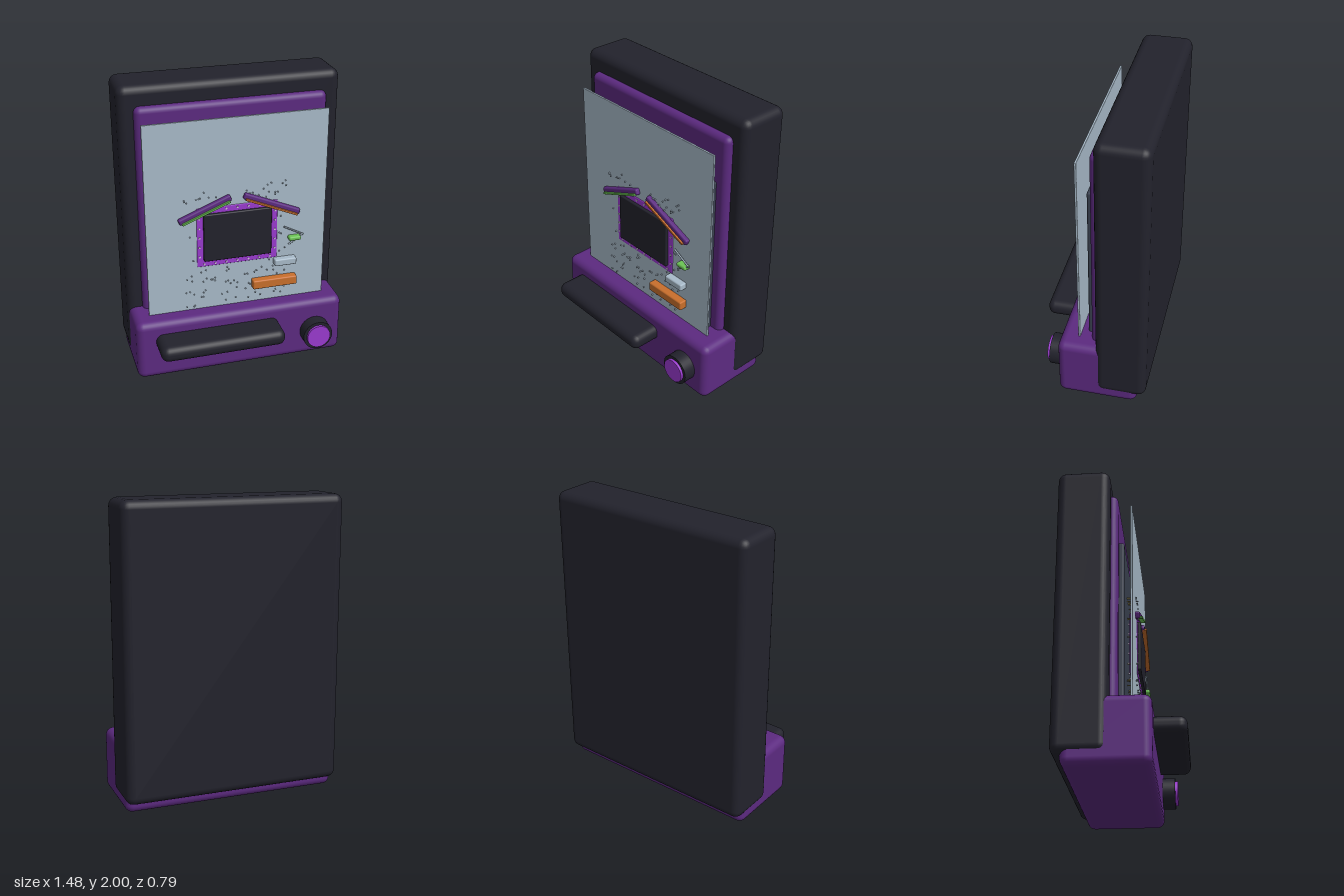
import * as THREE from 'three';
import { RoundedBoxGeometry } from 'three/addons/geometries/RoundedBoxGeometry.js';

const paint = (name, color) => Object.assign(new THREE.MeshStandardMaterial({ color }), { name });

export function createModel() {
  const model = new THREE.Group();
  model.name = 'displayDevice';
  const dark = paint('charcoal', 0x22222c);
  const purple = paint('deep purple', 0x5c2a80);
  const violet = paint('bright violet', 0x9a3acf);
  const glass = paint('pale blue grey', 0xa8bac9);
  const slate = paint('slate', 0x3a4150);
  const brass = paint('brass', 0xb3a468);
  const green = paint('green', 0x6cc455);
  const orange = paint('orange', 0xc96f2c);
  const white = paint('lilac white', 0xcfc4dc);

  const add = (name, geometry, material, parent = model) => {
    const mesh = new THREE.Mesh(geometry, material);
    mesh.name = name;
    parent.add(mesh);
    return mesh;
  };
  // Rounded box given by its limits on each axis
  const block = (name, material, [x0, x1], [y0, y1], [z0, z1], radius, parent) => {
    const mesh = add(name, new RoundedBoxGeometry(x1 - x0, y1 - y0, z1 - z0, 3, radius), material, parent);
    mesh.position.set((x0 + x1) / 2, (y0 + y1) / 2, (z0 + z1) / 2);
    return mesh;
  };
  // Cylinder pointing along z
  const disc = (name, material, x, y, z0, z1, radius, sides, parent) => {
    const geometry = new THREE.CylinderGeometry(radius, radius, z1 - z0, sides).rotateX(Math.PI / 2);
    const mesh = add(name, geometry, material, parent);
    mesh.position.set(x, y, (z0 + z1) / 2);
    return mesh;
  };

  // Housing, base and layered display
  block('housing', dark, [-0.74, 0.74], [0.07, 2], [-0.4, -0.06], 0.055);
  block('base', purple, [-0.73, 0.73], [0, 0.43], [-0.34, 0.195], 0.05);
  block('backPanel', purple, [-0.64, 0.64], [0.3, 1.87], [-0.15, -0.015], 0.04);
  block('innerScreen', slate, [-0.56, 0.56], [0.35, 1.55], [-0.05, 0.02], 0.015);
  block('frontSheet', glass, [-0.62, 0.62], [0.38, 1.79], [0.062, 0.076], 0.003);

  // Controls on the base
  block('handleBar', dark, [-0.6, 0.26], [0.23, 0.34], [0.1, 0.395], 0.05);
  disc('dial', dark, 0.53, 0.195, 0.15, 0.28, 0.105, 40);
  disc('dialCap', violet, 0.53, 0.195, 0.27, 0.298, 0.083, 40);

  // House picture: wall frame and dark window
  const house = new THREE.Group();
  house.name = 'house';
  model.add(house);
  block('wallFrame', violet, [-0.28, 0.28], [0.75, 1.185], [0.03, 0.08], 0.008, house);
  block('window', dark, [-0.235, 0.235], [0.795, 1.14], [0.07, 0.1], 0.008, house);

  // Two sloping roof bars, each with a coloured lower strip
  const roof = (name, x, y, length, degrees, trim) => {
    const bar = new THREE.Group();
    bar.name = name;
    bar.position.set(x, y, 0);
    bar.rotation.z = THREE.MathUtils.degToRad(degrees);
    house.add(bar);
    const h = length / 2;
    block('roofBeam', purple, [-h, h], [-0.022, 0.022], [0.07, 0.107], 0.012, bar);
    block('roofTrim', trim, [-h + 0.015, h - 0.015], [-0.023, -0.008], [0.09, 0.121], 0.004, bar);
  };
  roof('leftRoof', -0.225, 1.175, 0.38, 22, green);
  roof('rightRoof', 0.235, 1.163, 0.42, -23, orange);

  // Small ornaments beside and below the house
  block('greenTab', green, [0.355, 0.44], [0.877, 0.908], [0.07, 0.12], 0.012);
  block('greyTab', glass, [0.255, 0.41], [0.7, 0.75], [0.07, 0.125], 0.01);
  block('orangeTab', orange, [0.1, 0.415], [0.545, 0.61], [0.07, 0.13], 0.01);
  const rod = (x0, y0, x1, y1) => {
    const length = Math.hypot(x1 - x0, y1 - y0);
    const mesh = add('thinRod', new THREE.CylinderGeometry(0.006, 0.006, length, 8), glass);
    mesh.position.set((x0 + x1) / 2, (y0 + y1) / 2, 0.1);
    mesh.rotation.z = Math.atan2(y1 - y0, x1 - x0) - Math.PI / 2;
  };
  rod(0.32, 0.985, 0.458, 0.912);
  rod(0.355, 0.848, 0.458, 0.918);

  // Studs around the wall frame
  for (let i = 0; i < 7; i++) {
    const t = i / 6 - 0.5;
    for (const side of [-1, 1]) {
      disc('frameStud', white, t * 0.46, 0.967 + side * 0.197, 0.02, 0.084, 0.007, 8, house);
      if (i > 0 && i < 6) disc('frameStud', white, side * 0.262, 0.967 + t * 0.42, 0.02, 0.084, 0.007, 8, house);
    }
  }

  // Scattered pins that hold the front sheet, kept clear of the wall frame
  let seed = 7;
  const random = () => (seed = (seed * 16807) % 2147483647) / 2147483647;
  const pins = new THREE.Group();
  pins.name = 'pins';
  model.add(pins);
  for (let count = 0; count < 100;) {
    const x = -0.36 + random() * 0.7;
    const y = 0.45 + random() * 0.87;
    if (Math.abs(x) < 0.29 && y > 0.74 && y < 1.2) continue;
    disc('pinStem', brass, x, y, 0.01, 0.064, 0.004, 6, pins);
    disc('pinTip', glass, x, y, 0.07, 0.085, 0.005, 6, pins);
    count++;
  }
  return model;
}
